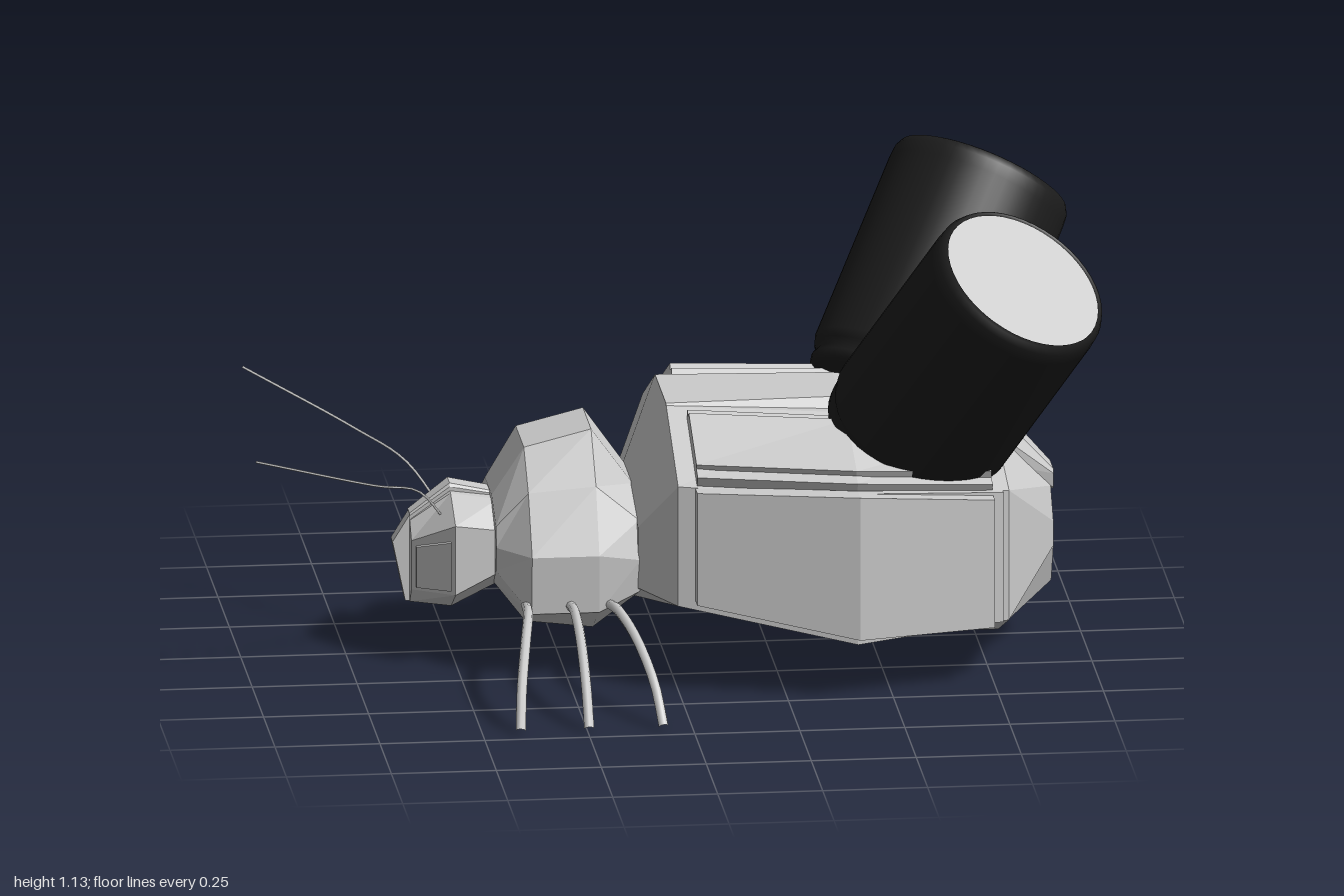
import * as THREE from 'three';

const grey = new THREE.MeshStandardMaterial({ color: 0xcccccc, flatShading: true });
const smoothGrey = new THREE.MeshStandardMaterial({ color: 0xcccccc });
const black = new THREE.MeshStandardMaterial({ color: 0x1c1c1c });

// Skin between rings of [x, y, z] points, closed at both ends; side -1 mirrors in z
function loft(rings, side = 1) {
  const n = rings[0].length;
  const pos = [], index = [];
  for (const ring of rings) {
    const pts = side > 0 ? ring : [...ring].reverse();
    for (const [x, y, z] of pts) pos.push(x, y, z * side);
  }
  for (let j = 0; j < rings.length - 1; j++) {
    for (let i = 0; i < n; i++) {
      const a = j * n + i, b = j * n + (i + 1) % n;
      index.push(a, b, a + n, b, b + n, a + n);
    }
  }
  const last = (rings.length - 1) * n;
  for (let i = 1; i < n - 1; i++) {
    index.push(0, i + 1, i, last, last + i, last + i + 1);
  }
  const g = new THREE.BufferGeometry();
  g.setAttribute('position', new THREE.Float32BufferAttribute(pos, 3));
  g.setIndex(index);
  const flat = g.toNonIndexed();
  flat.computeVertexNormals();
  return flat;
}

// Symmetric octagon: x, then y and half width of top, shoulder, hip and belly
function octagon([x, ...v]) {
  const half = [0, 2, 4, 6].map(i => [x, v[i], v[i + 1]]);
  return [...half, ...half.map(([px, y, z]) => [px, y, -z]).reverse()];
}

// Plate section: top edge and bottom edge on the body, pushed out by (dy, dz)
function plate([x, y0, z0, y1, z1], dy, dz) {
  return [[x, y0, z0], [x, y0 + dy, z0 + dz], [x, y1 + dy, z1 + dz], [x, y1, z1]];
}

export function createModel() {
  const model = new THREE.Group();
  const bug = new THREE.Group();
  bug.name = 'beetle';
  bug.position.z = -0.006;
  model.add(bug);

  const add = (name, geometry, material = grey, parent = bug) => {
    const mesh = new THREE.Mesh(geometry, material);
    mesh.name = name;
    parent.add(mesh);
    return mesh;
  };

  // Faceted body segments
  add('abdomen', loft([
    [-0.08, 0.42, 0.09, 0.36, 0.245, 0.21, 0.245, 0.15, 0.1],
    [0, 0.622, 0.13, 0.5, 0.39, 0.205, 0.39, 0.14, 0.13],
    [0.42, 0.6, 0.15, 0.48, 0.47, 0.12, 0.47, 0.05, 0.13],
    [0.79, 0.52, 0.1, 0.46, 0.37, 0.14, 0.37, 0.046, 0.13],
    [0.925, 0.37, 0.04, 0.3, 0.1, 0.24, 0.1, 0.14, 0.05]
  ].map(octagon)));
  add('backRidge', loft([
    [0, 0.627, 0.12, 0.615, 0.13, 0.5, 0.13, 0.45, 0.1],
    [0.42, 0.625, 0.1, 0.59, 0.13, 0.5, 0.13, 0.45, 0.1],
    [0.78, 0.58, 0.07, 0.53, 0.105, 0.45, 0.1, 0.4, 0.05],
    [0.932, 0.41, 0.035, 0.4, 0.042, 0.365, 0.035, 0.36, 0.03]
  ].map(octagon)));
  add('thorax', loft([
    [-0.41, 0.4, 0.075, 0.35, 0.17, 0.24, 0.17, 0.19, 0.07],
    [-0.335, 0.52, 0.09, 0.435, 0.19, 0.16, 0.27, 0.1, 0.12],
    [-0.175, 0.56, 0.09, 0.45, 0.2, 0.16, 0.27, 0.08, 0.12],
    [-0.075, 0.42, 0.08, 0.37, 0.22, 0.2, 0.24, 0.15, 0.1]
  ].map(r => {
    // extra side point at mid height makes a ten-sided section
    const o = octagon(r), w = r[0] < -0.4 ? 0.18 : r[0] > -0.1 ? 0.25 : 0.275;
    const y = r[0] < -0.1 ? 0.3 : 0.28;
    return [o[0], o[1], [r[0], y, w], o[2], o[3], o[4], o[5], [r[0], y, -w], o[6], o[7]];
  })));
  add('head', loft([
    [-0.6, 0.33, 0.03, 0.29, 0.065, 0.17, 0.065, 0.13, 0.03],
    [-0.505, 0.4, 0.05, 0.35, 0.16, 0.18, 0.16, 0.125, 0.06],
    [-0.395, 0.385, 0.06, 0.33, 0.14, 0.23, 0.14, 0.18, 0.06]
  ].map(octagon)));
  add('headCrest', loft([
    [-0.6, 0.345, 0.02, 0.34, 0.025, 0.3, 0.025, 0.28, 0.02],
    [-0.505, 0.418, 0.025, 0.41, 0.03, 0.35, 0.03, 0.3, 0.02],
    [-0.4, 0.395, 0.025, 0.39, 0.03, 0.35, 0.03, 0.3, 0.02]
  ].map(octagon)));

  // Upright snout plate
  const snout = new THREE.Shape([[-0.64, 0.275], [-0.61, 0.13], [-0.56, 0.122], [-0.56, 0.32], [-0.6, 0.34]]
    .map(p => new THREE.Vector2(...p)));
  const snoutGeometry = new THREE.ExtrudeGeometry(snout, { depth: 0.04, bevelEnabled: false });
  add('snout', snoutGeometry.translate(0, 0, -0.02));

  for (const side of [1, -1]) {
    const name = side > 0 ? 'left' : 'right';

    // Wing covers and stepped flank armour
    const wing = [[0.045, 0.6, 0.16, 0.5, 0.39], [0.42, 0.58, 0.185, 0.49, 0.45], [0.75, 0.51, 0.13, 0.455, 0.37]];
    add(name + 'WingCover', loft(wing.map(s => plate(s, 0.025, 0.014)), side));
    const step = wing.map(([x, y0, z0, y1, z1]) => [x, y0 - 0.01, z0 + 0.03, y1 + 0.012, z1 - 0.03]);
    add(name + 'WingCoverTop', loft(step.map(s => plate(s, 0.037, 0.018)), side));
    const flank = [[0.04, 0.497, 0.38, 0.22, 0.38], [0.42, 0.497, 0.46, 0.145, 0.46], [0.75, 0.455, 0.37, 0.14, 0.37]];
    add(name + 'FlankPlate', loft(flank.map(s => plate(s, 0, 0.06)), side));
    const border = [flank[0], flank[1], [0.775, 0.46, 0.36, 0.14, 0.36]];
    add(name + 'FlankBorder', loft(border.map(s => plate(s, 0, 0.025)), side));

    // Cheek panel
    add(name + 'Cheek', loft([[-0.59, 0.28, 0.065, 0.18, 0.065], [-0.515, 0.31, 0.14, 0.19, 0.14]]
      .map(s => plate(s, 0, 0.022)), side));

    // Three arched legs
    [[-0.345, -0.41], [-0.242, -0.247], [-0.15, -0.07]].forEach(([x0, x1], i) => {
      const at = (t, y, z) => new THREE.Vector3(x0 + (x1 - x0) * t, y, z * side);
      const curve = new THREE.CatmullRomCurve3([
        at(0, 0.17, 0.22), at(0.15, 0.19, 0.36), at(0.5, 0.16, 0.51), at(0.85, 0.085, 0.64), at(1, 0.006, 0.708)]);
      add(name + 'Leg' + (i + 1), new THREE.TubeGeometry(curve, 12, 0.012, 8), smoothGrey, model);
    });

    // Thin feeler
    const [tipX, tipZ] = side > 0 ? [-1, 0.32] : [-0.945, -0.465];
    const feeler = new THREE.CatmullRomCurve3([
      new THREE.Vector3(-0.52, 0.34, 0.06 * side),
      new THREE.Vector3(-0.59, 0.43, 0.12 * side),
      new THREE.Vector3(-0.7, 0.47, tipZ * 0.62),
      new THREE.Vector3(tipX, 0.575, tipZ)]);
    add(name + 'Feeler', new THREE.TubeGeometry(feeler, 20, 0.003, 5), smoothGrey, model);

    // Tilted black barrel with a grey end disc
    const barrel = new THREE.Group();
    barrel.name = name + 'Barrel';
    const axis = side > 0 ? new THREE.Vector3(0.548, 1, 0.557) : new THREE.Vector3(0.548, 1, -0.61);
    axis.normalize();
    const top = side > 0 ? new THREE.Vector3(0.82, 0.995, 0.415) : new THREE.Vector3(0.82, 0.99, -0.475);
    barrel.position.copy(top).addScaledVector(axis, -0.6);
    barrel.quaternion.setFromUnitVectors(new THREE.Vector3(0, 1, 0), axis);
    const profile = [[0, 0], [0.19, 0], [0.208, 0.01], [0.212, 0.03], [0.206, 0.045], [0.216, 0.06], [0.222, 0.08],
      [0.222, 0.55], [0.22, 0.58], [0.212, 0.597], [0.204, 0.6], [0.202, 0.592]].map(p => new THREE.Vector2(...p));
    add('barrelShell', new THREE.LatheGeometry(profile, 48), black, barrel);
    const disc = new THREE.CircleGeometry(0.204, 48).rotateX(-Math.PI / 2).translate(0, 0.594, 0);
    add('barrelDisc', disc, smoothGrey, barrel);
    model.add(barrel);
  }
  return model;
}
